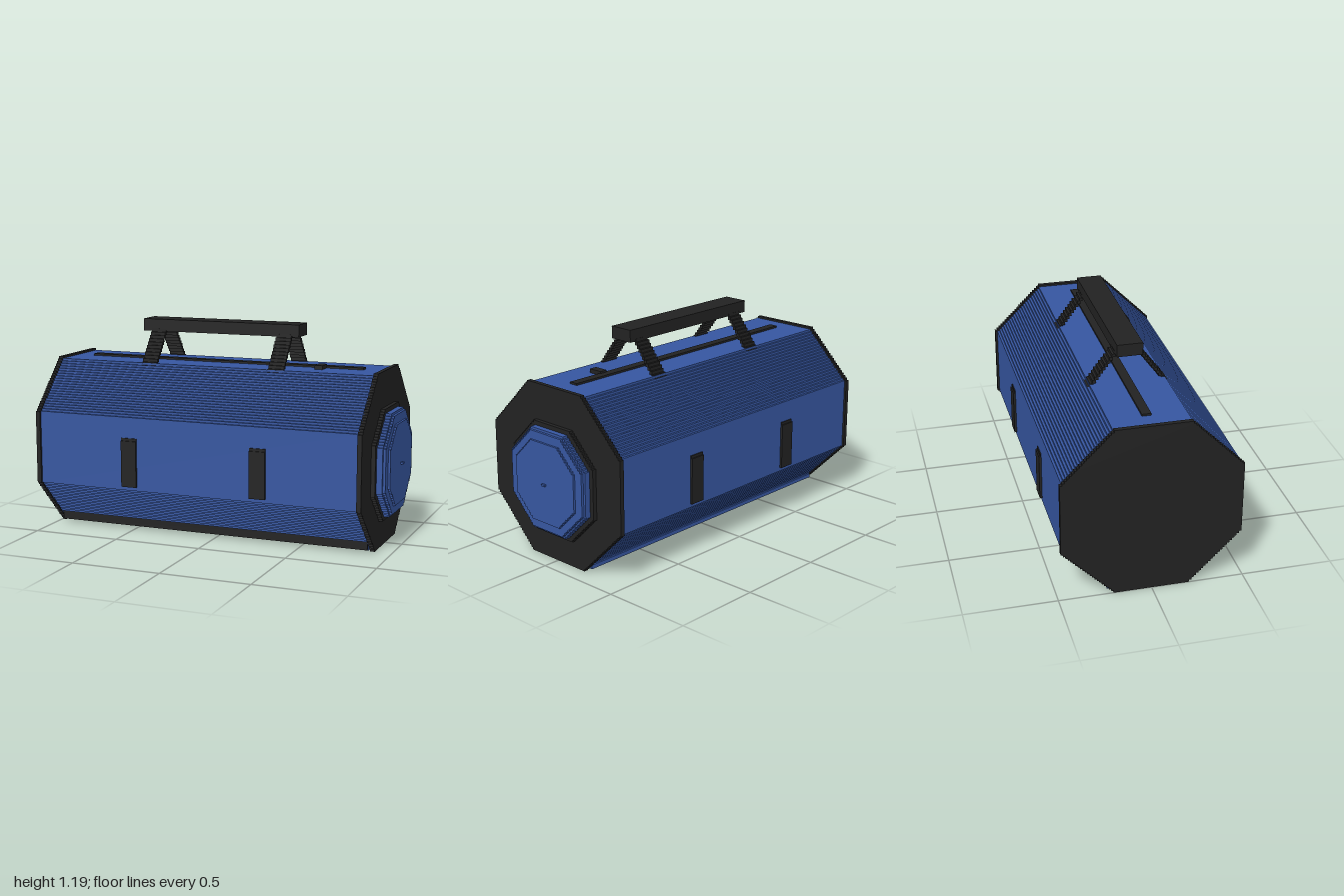
import * as THREE from 'three';

const blue = new THREE.MeshStandardMaterial({ color: 0x3656a0 });
blue.name = 'blue fabric';
const black = new THREE.MeshStandardMaterial({ color: 0x222222 });
black.name = 'black trim';

const STEP = 0.0129;

// Octagon whose slanted sides are small stairs
function steppedOctagon(halfZ, halfY, flat, cy) {
  const n = Math.round((halfZ - flat) / STEP);
  const quarter = [];
  for (let i = 0; i <= n; i++) {
    const z = halfZ - ((halfZ - flat) * i) / n;
    const rise = (halfY - flat) / n;
    quarter.push([z, flat + rise * i]);
    if (i < n) quarter.push([z - (halfZ - flat) / n, flat + rise * i]);
  }
  const back = quarter.slice().reverse();
  const pts = [
    ...quarter,
    ...back.map(([z, y]) => [-z, y]),
    ...quarter.map(([z, y]) => [-z, -y]),
    ...back.map(([z, y]) => [z, -y]),
  ];
  return new THREE.Shape(pts.map(([z, y]) => new THREE.Vector2(z, y + cy)));
}

// Extrude a z-y section along x, from x0 to x1
function alongX(name, shape, x0, x1, material) {
  const geo = new THREE.ExtrudeGeometry(shape, { depth: x1 - x0, bevelEnabled: false });
  geo.rotateY(Math.PI / 2);
  geo.translate(x0, 0, 0);
  const mesh = new THREE.Mesh(geo, material);
  mesh.name = name;
  return mesh;
}

// Box given by its limits
function box(name, x0, x1, y0, y1, z0, z1, material) {
  const mesh = new THREE.Mesh(new THREE.BoxGeometry(x1 - x0, y1 - y0, z1 - z0), material);
  mesh.position.set((x0 + x1) / 2, (y0 + y1) / 2, (z0 + z1) / 2);
  mesh.name = name;
  return mesh;
}

// Thin stair-shaped band from the handle down to the bag
function strapShape(side) {
  const n = 12, z0 = 0.055, z1 = 0.213, y0 = 1.135, y1 = 0.925;
  const dz = (z1 - z0) / n, dy = (y0 - y1) / n;
  const upper = [], lower = [];
  for (let i = 0; i < n; i++) {
    const z = z0 + dz * i, y = y0 - dy * i;
    upper.push([z + dz, y], [z + dz, y - dy]);
    lower.push([z, y], [z, y - dy]);
  }
  // the outer stair is one tread further out than the inner one
  const pts = [...upper.map(([z, y]) => [z + 0.003, y]), ...lower.reverse().map(([z, y]) => [z - 0.003, y])];
  return new THREE.Shape(pts.map(([z, y]) => new THREE.Vector2(side * z, y)));
}

export function createModel() {
  const bag = new THREE.Group();
  bag.name = 'duffelBag';

  // Body and flat base
  bag.add(alongX('body', steppedOctagon(0.471, 0.471, 0.205, 0.484), -0.98, 0.885, blue));
  bag.add(box('basePanel', -0.975, 0.88, 0.014, 0.036, -0.236, 0.236, blue));
  bag.add(box('frontBottomTrim', -0.97, 0.875, 0.015, 0.07, 0.2, 0.246, black));

  // End caps
  const cap = steppedOctagon(0.483, 0.483, 0.205, 0.483);
  bag.add(alongX('plainEndCap', cap, -1, -0.975, black));
  bag.add(alongX('pocketEndCap', cap, 0.88, 0.905, black));

  // Round end pocket, stepping outwards
  const layers = [
    ['pocketRim', 0.307, 0.14, 0.905, 0.928, black],
    ['pocketSide', 0.283, 0.125, 0.928, 0.96, blue],
    ['pocketShoulder', 0.27, 0.12, 0.96, 0.974, blue],
    ['pocketFace', 0.222, 0.107, 0.974, 0.986, blue],
  ];
  for (const [name, half, flat, x0, x1, material] of layers) {
    bag.add(alongX(name, steppedOctagon(half, half, flat, 0.461), x0, x1, material));
  }
  bag.add(box('pocketButton', 0.986, 1, 0.45, 0.461, -0.012, 0.012, blue));

  // Top zip with its pull
  bag.add(box('zip', -0.87, 0.77, 0.95, 0.966, -0.03, 0.02, black));
  bag.add(box('zipPull', 0.515, 0.56, 0.955, 0.977, 0.01, 0.093, black));

  // Handle, slanted straps and side patches
  bag.add(box('handle', -0.52, 0.415, 1.122, 1.19, -0.07, 0.07, black));
  for (const [x0, x1] of [[-0.47, -0.38], [0.285, 0.375]]) {
    for (const side of [1, -1]) {
      bag.add(alongX('handleStrap', strapShape(side), x0, x1, black));
      const zs = [0.46 * side, 0.484 * side].sort((a, b) => a - b);
      bag.add(box('sidePatch', x0, x1, 0.3, 0.558, zs[0], zs[1], black));
      const zt = [0.46 * side, 0.477 * side].sort((a, b) => a - b);
      bag.add(box('sidePatchTop', x0, x1, 0.558, 0.573, zt[0], zt[1], black));
    }
  }
  return bag;
}
